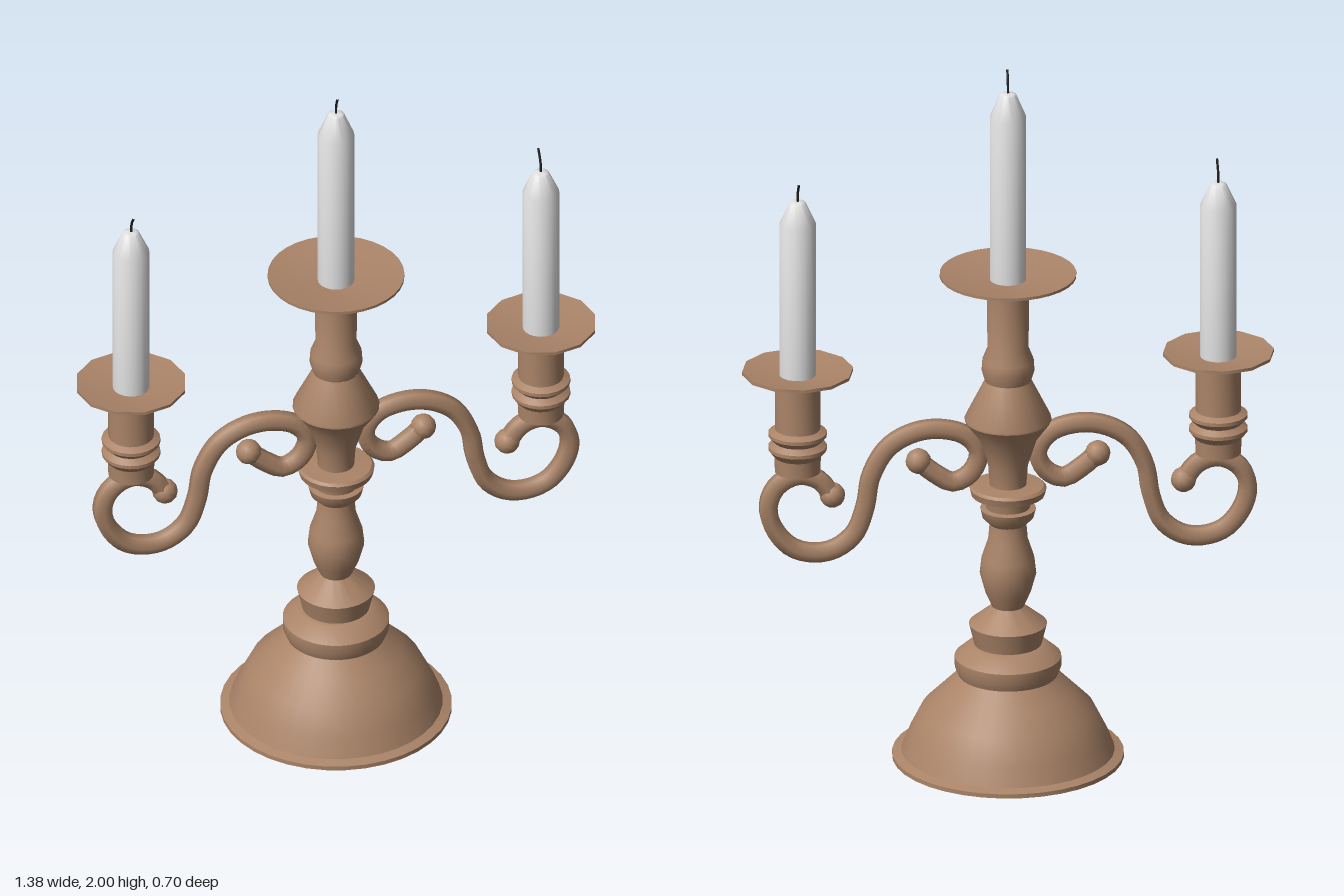
import * as THREE from 'three';
import { toCreasedNormals } from 'three/addons/utils/BufferGeometryUtils.js';

export function createModel() {
  const bronze = new THREE.MeshStandardMaterial({ color: 0xaa8468 });
  bronze.name = 'bronze';
  const wax = new THREE.MeshStandardMaterial({ color: 0xe0e0e0 });
  wax.name = 'wax';
  const soot = new THREE.MeshStandardMaterial({ color: 0x222222 });
  soot.name = 'wick black';

  const add = (parent, name, geometry, material) => {
    const mesh = new THREE.Mesh(geometry, material);
    mesh.name = name;
    parent.add(mesh);
    return mesh;
  };

  // Turned part from [radius, height] pairs, listed bottom to top along the outside
  const turned = (profile, sides) =>
    toCreasedNormals(new THREE.LatheGeometry(profile.map(([r, y]) => new THREE.Vector2(r, y)), sides), 0.6);

  // Tapered candle with a bent wick; lean is the wick tip's x and z offset
  const candle = (bottom, shoulder, top, lean) => {
    const group = new THREE.Group();
    group.name = 'candle';
    add(group, 'wax', turned([
      [0, bottom], [0.05, bottom], [0.05, shoulder], [0.022, top - 0.004], [0.016, top], [0, top],
    ], 20), wax);
    const path = new THREE.CatmullRomCurve3([
      new THREE.Vector3(0, top - 0.005, 0),
      new THREE.Vector3(lean[0] * 0.2, top + 0.028, lean[1] * 0.2),
      new THREE.Vector3(lean[0], top + 0.06, lean[1]),
    ]);
    add(group, 'wick', new THREE.TubeGeometry(path, 6, 0.0035, 5), soot);
    return group;
  };

  const model = new THREE.Group();
  model.name = 'candelabrum';

  // Foot
  add(model, 'foot', turned([
    [0, 0], [0.315, 0], [0.315, 0.012], [0.29, 0.02], [0.27, 0.07], [0.235, 0.14],
    [0.18, 0.195], [0.135, 0.24], [0.145, 0.265], [0.145, 0.293], [0.105, 0.328],
    [0.092, 0.33], [0.106, 0.388], [0.042, 0.44],
  ], 36), bronze);

  // Baluster stem and collar
  add(model, 'stem', turned([
    [0.042, 0.435], [0.062, 0.48], [0.077, 0.535], [0.072, 0.58], [0.054, 0.635],
    [0.05, 0.68], [0.07, 0.7], [0.076, 0.725], [0.06, 0.728], [0.064, 0.755],
    [0.1, 0.765], [0.105, 0.785], [0.098, 0.792], [0.05, 0.795], [0.054, 0.85],
    [0.08, 0.93], [0.118, 0.983], [0.118, 0.99], [0.063, 1.1],
  ], 24), bronze);

  // Upper stem and centre drip pan
  add(model, 'centreHolder', turned([
    [0.063, 1.1], [0.072, 1.13], [0.07, 1.16], [0.056, 1.195], [0.058, 1.375],
    [0.186, 1.405], [0.186, 1.413], [0.06, 1.395], [0, 1.395],
  ], 32), bronze);
  model.add(candle(1.39, 1.87, 1.94, [-0.008, 0.02]));

  // Scroll arm centre line: distance from the stem axis, height
  const scroll = [
    [0.245, 0.873], [0.2, 0.835], [0.15, 0.808], [0.1, 0.835], [0.081, 0.89],
    [0.115, 0.942], [0.19, 0.965], [0.265, 0.955], [0.33, 0.915], [0.375, 0.835],
    [0.39, 0.75], [0.42, 0.67], [0.475, 0.627], [0.535, 0.619], [0.595, 0.64],
    [0.642, 0.7], [0.655, 0.765], [0.63, 0.82], [0.575, 0.848], [0.52, 0.833], [0.48, 0.785],
  ];
  const scrollPath = new THREE.CatmullRomCurve3(scroll.map(([d, y]) => new THREE.Vector3(d, y, 0)));

  // Two arms, half a turn apart
  for (const [name, turn] of [['leftArm', 0], ['rightArm', Math.PI]]) {
    const arm = new THREE.Group();
    arm.name = name;
    arm.rotation.y = turn - 0.355;
    add(arm, 'scroll', new THREE.TubeGeometry(scrollPath, 72, 0.028, 6), bronze);
    for (const [d, y] of [scroll[0], scroll[scroll.length - 1]]) {
      add(arm, 'scrollTip', new THREE.SphereGeometry(0.035, 12, 8), bronze).position.set(d, y, 0);
    }

    const holder = new THREE.Group();
    holder.name = 'candleHolder';
    holder.position.x = 0.575;
    // Cup with two rings
    add(holder, 'cup', turned([
      [0, 0.86], [0.062, 0.86], [0.064, 0.905], [0.08, 0.925], [0.08, 0.935],
      [0.064, 0.948], [0.08, 0.965], [0.08, 0.975], [0.062, 0.985], [0.062, 1.14],
    ], 20), bronze);
    // Faceted drip pan
    add(holder, 'dripPan', turned([
      [0.06, 1.132], [0.152, 1.148], [0.152, 1.157], [0.06, 1.143], [0, 1.143],
    ], 12), bronze);
    holder.add(candle(1.135, 1.585, 1.65, [-0.001, -0.026]));
    arm.add(holder);
    model.add(arm);
  }

  return model;
}
